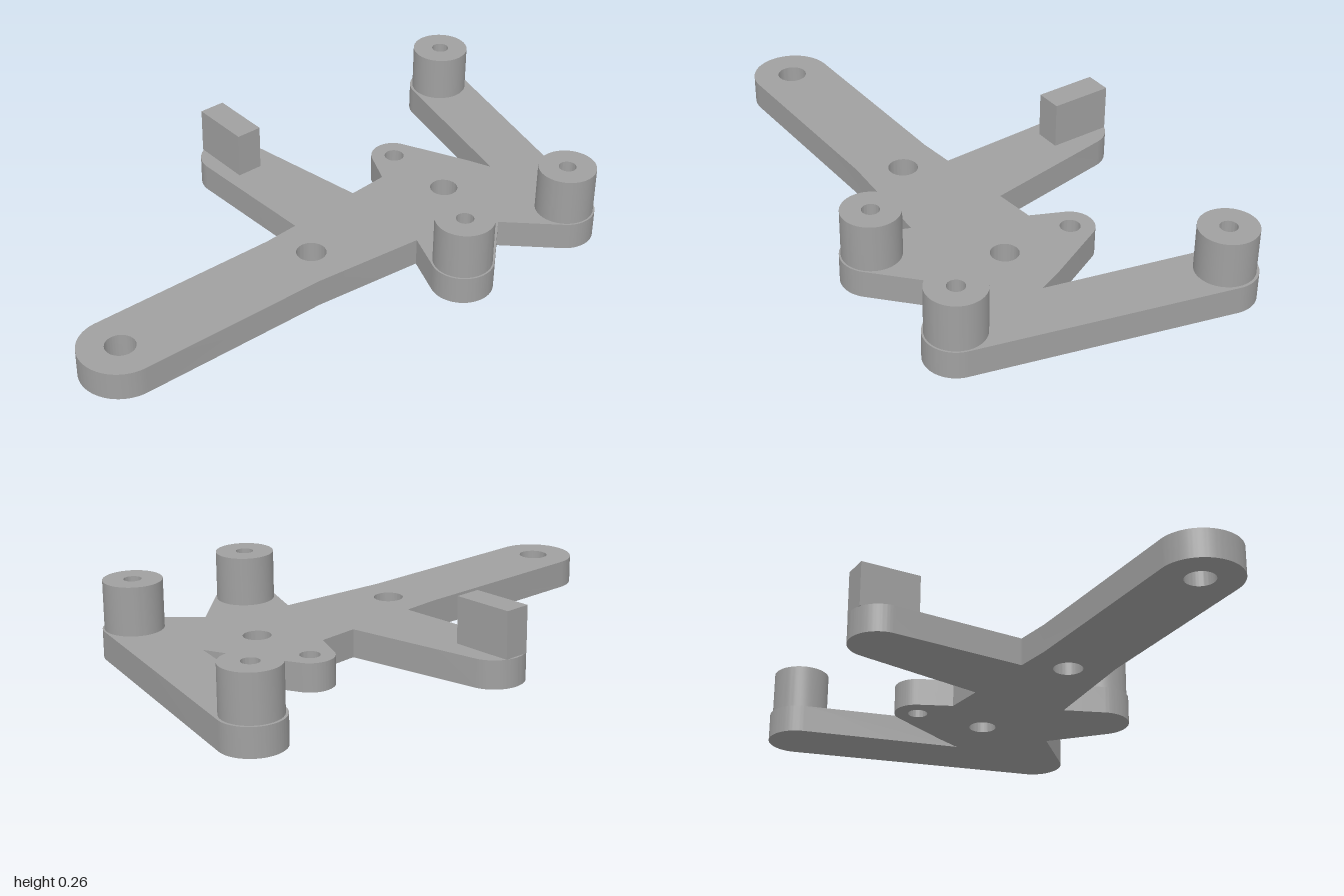
import * as THREE from 'three';
import { toCreasedNormals } from 'three/addons/utils/BufferGeometryUtils.js';

const PLATE = 0.095; // plate thickness
const rad = THREE.MathUtils.degToRad;

// Plan shapes are drawn as (x, -z) and extruded upwards
function extrudeUp(shape, depth, y) {
  const geo = new THREE.ExtrudeGeometry(shape, { depth, bevelEnabled: false, curveSegments: 32 });
  geo.rotateX(-Math.PI / 2).translate(0, y, 0);
  return toCreasedNormals(geo, rad(20));
}

function addHole(shape, x, z, r) {
  shape.holes.push(new THREE.Path().absarc(x, -z, r, 0, Math.PI * 2, true));
}

export function createModel() {
  const group = new THREE.Group();
  const grey = new THREE.MeshStandardMaterial({ color: 0xa0a0a0 });
  grey.name = 'grey';

  const add = (name, geo) => {
    const mesh = new THREE.Mesh(geo, grey);
    mesh.name = name;
    group.add(mesh);
    return mesh;
  };

  // Flat plate with rounded arm ends, outlined counterclockwise
  const plate = new THREE.Shape();
  const lobe = (x, z, r, from, to) => plate.absarc(x, -z, r, rad(from), rad(to), false);
  const corner = (x, z) => plate.lineTo(x, -z);
  lobe(0.135, 0.863, 0.135, 180, 360); // long front arm
  corner(0.27, 0.2);
  corner(0.302, -0.18);
  lobe(0.473, -0.222, 0.102, -111, 44); // left front lobe
  corner(0.396, -0.455);
  lobe(0.473, -0.683, 0.102, -44, 76); // left back lobe
  lobe(-0.371, -0.895, 0.105, 76, 256); // back arm
  corner(0.145, -0.663);
  corner(0.06, -0.627);
  lobe(-0.12, -0.453, 0.078, 115, 245); // small ear
  corner(-0.044, -0.333);
  corner(-0.033, -0.193);
  lobe(-0.475, -0.012, 0.103, 99.5, 272); // side arm
  corner(-0.01, 0.075);
  corner(0, 0.2);
  plate.closePath();

  // Through holes
  addHole(plate, 0.135, 0.863, 0.049);
  addHole(plate, 0.135, 0.125, 0.049);
  addHole(plate, 0.135, -0.453, 0.046);
  addHole(plate, -0.118, -0.453, 0.033);
  add('plate', extrudeUp(plate, PLATE, 0));

  // Round posts with blind holes
  const posts = [
    ['leftFrontPost', 0.473, -0.222, 0.257],
    ['leftBackPost', 0.473, -0.683, 0.257],
    ['rightBackPost', -0.371, -0.895, 0.251],
  ];
  for (const [name, x, z, top] of posts) {
    const ring = new THREE.Shape().absarc(x, -z, 0.096, 0, Math.PI * 2, false);
    addHole(ring, x, z, 0.029);
    add(name, extrudeUp(ring, top - PLATE, PLATE));
  }

  // Upright block on the side arm
  const block = add('stopBlock', new THREE.BoxGeometry(0.21, 0.251 - PLATE, 0.09));
  block.position.set(-0.465, (0.251 + PLATE) / 2, -0.008);

  return group;
}
